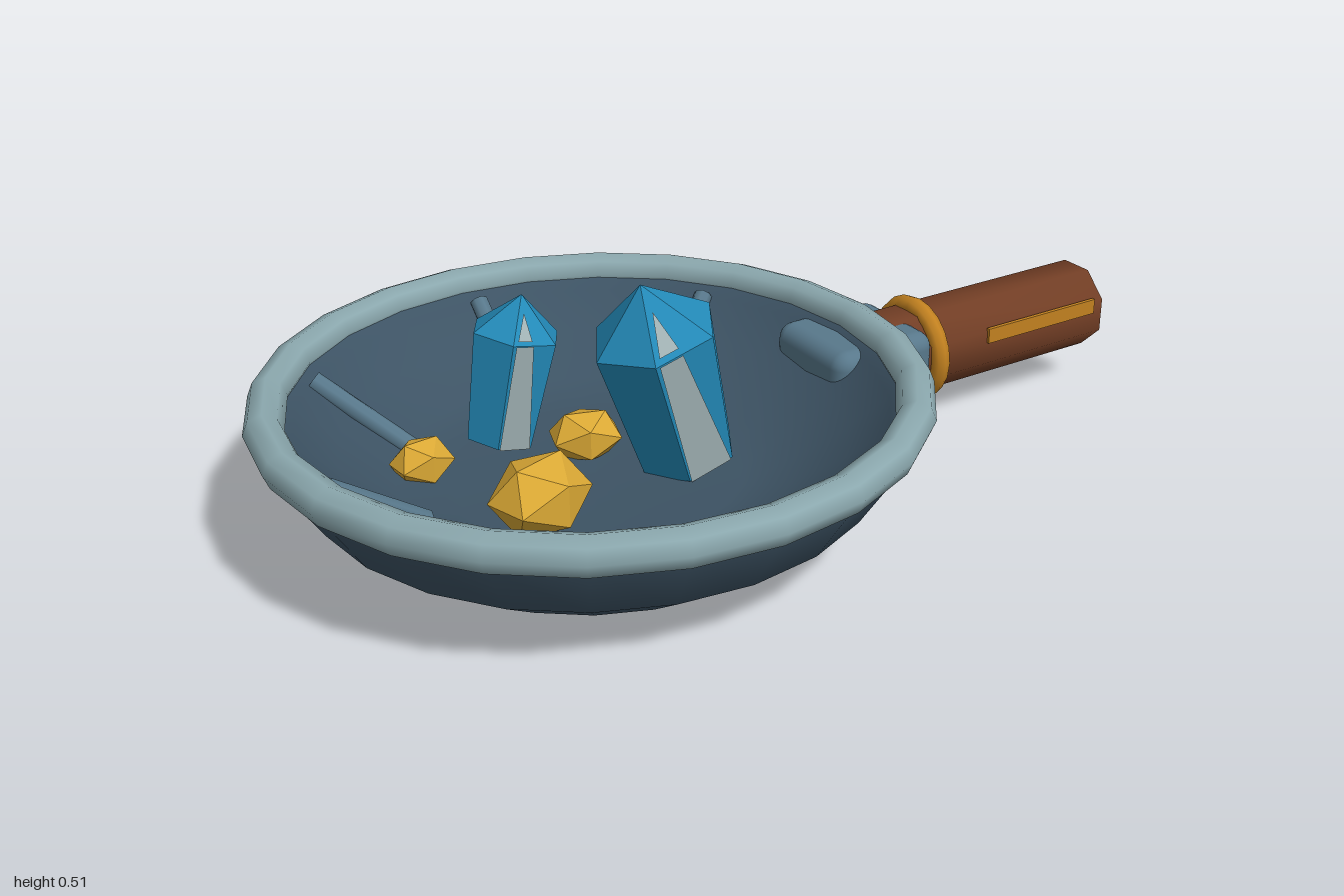
import * as THREE from 'three';
import { mergeVertices } from 'three/addons/utils/BufferGeometryUtils.js';
import { RoundedBoxGeometry } from 'three/addons/geometries/RoundedBoxGeometry.js';

const mat = (name, color, extra = {}) => {
  const m = new THREE.MeshStandardMaterial({ color, ...extra });
  m.name = name;
  return m;
};

export function createModel() {
  const iron = mat('darkIron', 0x3d5364);
  const rimSteel = mat('paleSteel', 0x8ba8ae);
  const steel = mat('blueSteel', 0x58788b);
  const wood = mat('wood', 0x723e25);
  const brass = mat('brass', 0xc28120);
  const gold = mat('gold', 0xdba935, { flatShading: true });
  const crystalBlue = mat('crystalBlue', 0x2389b7, { flatShading: true });
  const pale = mat('paleFacet', 0x9fb0b2, { side: THREE.DoubleSide });

  const model = new THREE.Group();
  model.name = 'pan';
  const add = (name, geometry, material, x = 0, y = 0, z = 0, parent = model) => {
    const mesh = new THREE.Mesh(geometry, material);
    mesh.name = name;
    mesh.position.set(x, y, z);
    parent.add(mesh);
    return mesh;
  };
  const cx = -0.309; // bowl centre
  const floor = 0.1; // inside floor height

  // Bowl: outer wall going up, inner wall coming back down
  const profile = [
    [0, 0], [0.29, 0.003], [0.43, 0.025], [0.585, 0.13], [0.668, 0.26], [0.66, 0.3],
    [0.625, 0.3], [0.6, 0.255], [0.52, 0.19], [0.41, 0.12], [0.3, floor], [0, floor - 0.005],
  ].map(([r, y]) => new THREE.Vector2(r, y));
  add('bowl', new THREE.LatheGeometry(profile, 24), iron, cx);

  // Rim
  const rim = new THREE.TorusGeometry(0.651, 0.04, 8, 24).rotateX(Math.PI / 2);
  add('rim', rim, rimSteel, cx, 0.287);

  // Ribs lying on the inner wall
  for (const degrees of [175, 222, 273, 324]) {
    const a = THREE.MathUtils.degToRad(degrees);
    const at = (r, y) => new THREE.Vector3(cx + r * Math.cos(a), y, r * Math.sin(a));
    const low = at(0.395, 0.122), high = at(0.595, 0.26);
    const rib = add('rib', new THREE.CylinderGeometry(0.021, 0.021, low.distanceTo(high), 8), steel);
    rib.position.copy(low).lerp(high, 0.5);
    rib.quaternion.setFromUnitVectors(new THREE.Vector3(0, 1, 0), high.clone().sub(low).normalize());
  }

  // Bracket, handle with softly shaded ends, collar and inlay
  add('handleBracket', new RoundedBoxGeometry(0.262, 0.168, 0.25, 3, 0.036), steel, 0.346, 0.183);
  let grip = new THREE.CylinderGeometry(0.102, 0.102, 0.6, 8).rotateY(Math.PI / 8).rotateZ(Math.PI / 2);
  grip.deleteAttribute('normal');
  grip.deleteAttribute('uv');
  grip = mergeVertices(grip);
  grip.computeVertexNormals();
  add('handle', grip, wood, 0.7, 0.178);
  add('collar', new THREE.TorusGeometry(0.1, 0.022, 8, 20).rotateY(Math.PI / 2), brass, 0.51, 0.178);
  add('handleInlay', new THREE.BoxGeometry(0.32, 0.035, 0.009), brass, 0.81, 0.208, 0.096);

  // Pointed hexagonal crystals, each with pale plates on its front side
  const addCrystal = (name, x, z, r, shaft, tip, tilt) => {
    const group = new THREE.Group();
    group.name = name;
    group.position.set(x, floor + 0.015, z);
    group.rotation.z = tilt;
    model.add(group);
    const bottom = r * 0.78;
    const body = new THREE.CylinderGeometry(r, bottom, shaft, 6).rotateY(Math.PI / 6);
    add('crystalShaft', body, crystalBlue, 0, shaft / 2, 0, group);
    const point = new THREE.ConeGeometry(r, tip, 6, 1, true).rotateY(Math.PI / 6);
    add('crystalTip', point, crystalBlue, 0, shaft + tip / 2, 0, group);
    const plate = (corners) => {
      const pts = corners.map(([px, py, pz]) => new THREE.Vector3(px, py, pz + 0.005));
      const g = new THREE.BufferGeometry().setFromPoints(pts);
      g.setIndex(pts.length === 4 ? [0, 1, 2, 0, 2, 3] : [0, 1, 2]);
      g.computeVertexNormals();
      add('paleFacet', g, pale, 0, 0, 0, group);
    };
    const k = Math.sqrt(3) / 2;
    plate([[-0.38 * r, 0, bottom * k], [0.34 * r, 0, bottom * k],
      [-0.05 * r, shaft, r * k], [-0.45 * r, shaft, r * k]]);
    plate([[-0.38 * r, shaft + tip * 0.1, r * k * 0.9], [-0.05 * r, shaft + tip * 0.1, r * k * 0.9],
      [-0.08 * r, shaft + tip * 0.65, r * k * 0.35]]);
  };
  addCrystal('largeCrystal', -0.122, 0.055, 0.136, 0.3, 0.113, 0.26);
  addCrystal('smallCrystal', -0.42, -0.217, 0.098, 0.236, 0.083, -0.21);

  // Gold nuggets on the floor of the bowl: x, z, half width, half height, half depth, turn
  for (const [x, z, w, h, d, turn] of [
    [-0.498, 0.118, 0.112, 0.086, 0.094, 0.3],
    [-0.62, -0.168, 0.07, 0.055, 0.058, 0.1],
    [-0.285, -0.088, 0.083, 0.06, 0.068, -0.3],
  ]) {
    const nugget = add('nugget', new THREE.IcosahedronGeometry(1, 0), gold, x, floor + h * 0.65, z);
    nugget.scale.set(w, h, d);
    nugget.rotation.y = turn;
  }
  return model;
}
